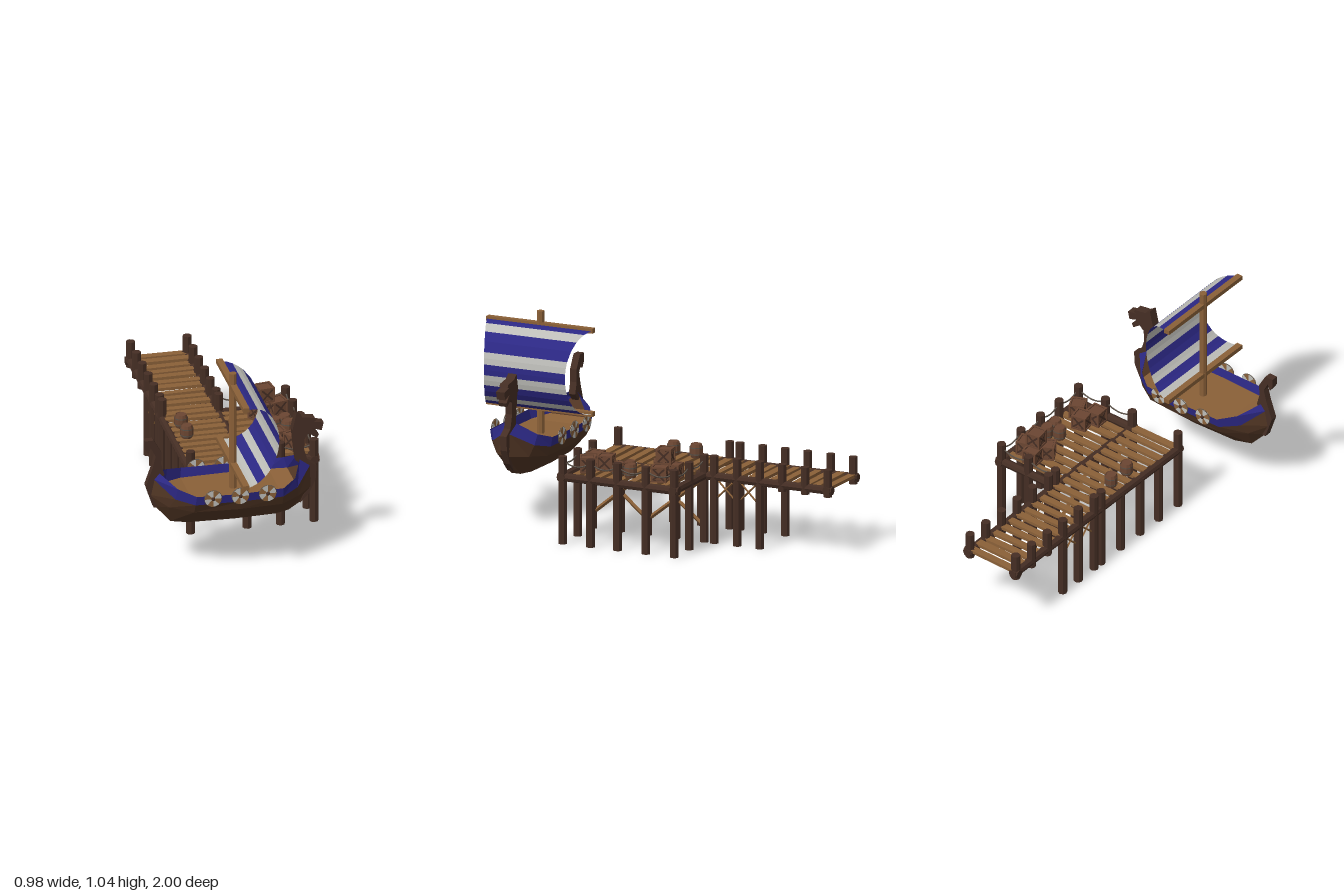
import * as THREE from 'three';

const mat = (color) => new THREE.MeshStandardMaterial({ color, flatShading: true, side: THREE.DoubleSide });
const DARK = mat(0x452e24), HULL = mat(0x4f3423), PLANK = mat(0x8a6038), CRATE = mat(0x6b4632),
  BLUE = mat(0x2c2884), WHITE = mat(0xbdbdb8), ROPE = mat(0x5a5148);
const V = (x, y, z) => new THREE.Vector3(x, y, z);

let seed = 7;
const jitter = (a) => { seed = (seed * 16807) % 2147483647; return (seed / 2147483647 - 0.5) * 2 * a; };

function add(parent, name, geo, material, x = 0, y = 0, z = 0) {
  const m = new THREE.Mesh(geo, material);
  m.name = name;
  m.position.set(x, y, z);
  parent.add(m);
  return m;
}
// round bar between two points
function bar(parent, name, a, b, r, material, sides = 8) {
  const m = add(parent, name, new THREE.CylinderGeometry(r, r, a.distanceTo(b), sides), material);
  m.position.copy(a).lerp(b, 0.5);
  m.quaternion.setFromUnitVectors(V(0, 1, 0), b.clone().sub(a).normalize());
  return m;
}
// faceted surface through rows of points
function sheet(rows) {
  const p = [];
  for (let i = 0; i < rows.length - 1; i++) for (let j = 0; j < rows[i].length - 1; j++) {
    const [a, b, c, d] = [rows[i][j], rows[i + 1][j], rows[i + 1][j + 1], rows[i][j + 1]];
    for (const v of [a, b, c, a, c, d]) p.push(v.x, v.y, v.z);
  }
  const g = new THREE.BufferGeometry();
  g.setAttribute('position', new THREE.Float32BufferAttribute(p, 3));
  g.computeVertexNormals();
  return g;
}
function slab(points, depth) {
  const g = new THREE.ExtrudeGeometry(new THREE.Shape(points.map((p) => new THREE.Vector2(...p))), { depth, bevelEnabled: false });
  return g.translate(0, 0, -depth / 2);
}

function buildShip() {
  const ship = new THREE.Group();
  ship.name = 'ship';
  // stations from stern to bow: keel, chine, strake, sheer as [x, y, halfWidth]
  const stations = [
    [[-0.44, 0.35, 0.006], [-0.475, 0.42, 0.008], [-0.45, 0.505, 0.014], [-0.42, 0.535, 0.018]],
    [[-0.365, 0.267, 0.02], [-0.385, 0.37, 0.075], [-0.36, 0.425, 0.105], [-0.35, 0.487, 0.12]],
    [[-0.28, 0.265, 0.05], [-0.27, 0.36, 0.14], [-0.27, 0.41, 0.165], [-0.265, 0.46, 0.175]],
    [[-0.04, 0.265, 0.06], [-0.04, 0.36, 0.155], [-0.04, 0.41, 0.172], [-0.04, 0.455, 0.18]],
    [[0.17, 0.265, 0.05], [0.18, 0.36, 0.145], [0.18, 0.41, 0.165], [0.18, 0.46, 0.173]],
    [[0.24, 0.267, 0.025], [0.275, 0.37, 0.09], [0.265, 0.43, 0.115], [0.25, 0.485, 0.125]],
    [[0.31, 0.30, 0.006], [0.365, 0.38, 0.008], [0.35, 0.495, 0.018], [0.295, 0.54, 0.03]],
  ];
  const row = (s, k, side) => V(s[k][0], s[k][1], side * s[k][2]);
  for (const side of [1, -1]) {
    add(ship, 'hullSide', sheet(stations.map((s) => [0, 1, 2].map((k) => row(s, k, side)))), HULL);
    add(ship, 'gunwale', sheet(stations.map((s) => [2, 3].map((k) => row(s, k, side)))), BLUE);
  }
  add(ship, 'keelBottom', sheet(stations.map((s) => [row(s, 0, -1), row(s, 0, 1)])), HULL);
  const floor = stations.map((s) => [row(s, 2, -1), row(s, 2, 1)]);
  add(ship, 'deck', sheet(floor.slice(1, 6)), PLANK);
  add(ship, 'sternDeck', sheet(floor.slice(0, 2)), HULL);
  add(ship, 'bowDeck', sheet(floor.slice(5)), HULL);
  // curled stern and carved prow
  add(ship, 'sternPost', slab([[-0.43, 0.35], [-0.45, 0.35], [-0.49, 0.47], [-0.455, 0.57], [-0.44, 0.63], [-0.465, 0.68],
    [-0.477, 0.645], [-0.495, 0.675], [-0.495, 0.72], [-0.45, 0.72], [-0.41, 0.65], [-0.412, 0.585], [-0.395, 0.525], [-0.44, 0.48]], 0.036), DARK);
  add(ship, 'prow', slab([[0.30, 0.295], [0.345, 0.34], [0.38, 0.415], [0.385, 0.49], [0.34, 0.52], [0.32, 0.59], [0.325, 0.655],
    [0.29, 0.74], [0.26, 0.70], [0.27, 0.60], [0.278, 0.53], [0.33, 0.49], [0.355, 0.42]], 0.036), DARK);
  add(ship, 'prowHead', slab([[0.26, 0.70], [0.28, 0.79], [0.31, 0.767], [0.375, 0.757], [0.382, 0.742], [0.365, 0.738], [0.42, 0.727],
    [0.41, 0.685], [0.36, 0.702], [0.395, 0.665], [0.385, 0.645], [0.345, 0.675], [0.325, 0.655]], 0.046), DARK);
  // mast, yards and striped sail
  bar(ship, 'mast', V(-0.04, 0.41, 0), V(-0.04, 1.04, 0), 0.019, PLANK);
  for (const y of [0.97, 0.54]) add(ship, 'yard', new THREE.BoxGeometry(0.032, 0.024, 0.59), PLANK, -0.04, y, 0);
  const bands = [0.97, 0.96, 0.93, 0.84, 0.78, 0.725, 0.67, 0.605, 0.575, 0.55, 0.54];
  const sailRow = (t) => {
    const s = Math.sin(t), w = 0.293 - 0.068 * s;
    return [-1, -0.33, 0.33, 1].map((k) => V(-0.03 + 0.175 * s, 0.755 + 0.215 * Math.cos(t), k * w));
  };
  const angle = (y) => Math.acos(THREE.MathUtils.clamp((y - 0.755) / 0.215, -1, 1));
  for (let i = 0; i < bands.length - 1; i++) {
    const a = angle(bands[i]), b = angle(bands[i + 1]);
    add(ship, 'sailStripe', sheet([0, 0.5, 1].map((f) => sailRow(a + (b - a) * f))), i % 2 ? WHITE : BLUE);
  }
  // round shields with alternating wedges
  for (const side of [1, -1]) for (const x of [-0.185, -0.045, 0.095]) {
    const shield = new THREE.Group();
    shield.name = 'shield';
    for (let i = 0; i < 8; i++) {
      const w = add(shield, 'shieldWedge', new THREE.CylinderGeometry(0.043, 0.043, 0.008, 3, 1, false, i * Math.PI / 4, Math.PI / 4), i % 2 ? PLANK : WHITE);
      w.rotation.x = Math.PI / 2;
    }
    add(shield, 'shieldRim', new THREE.TorusGeometry(0.043, 0.003, 4, 16), ROPE);
    add(shield, 'shieldBoss', new THREE.SphereGeometry(0.01, 8, 6), DARK, 0, 0, side * 0.004);
    shield.position.set(x, 0.448, side * 0.186);
    ship.add(shield);
  }
  ship.position.z = 0.7;
  return ship;
}

function buildBarrel() {
  const g = new THREE.Group();
  g.name = 'barrel';
  const prof = [[0, 0], [0.027, 0], [0.034, 0.022], [0.034, 0.048], [0.027, 0.07], [0.025, 0.066], [0, 0.066]];
  add(g, 'barrelBody', new THREE.LatheGeometry(prof.map((p) => new THREE.Vector2(...p)), 10), CRATE);
  for (const y of [0.018, 0.052]) add(g, 'hoop', new THREE.CylinderGeometry(0.0345, 0.0345, 0.006, 10, 1, true), ROPE, 0, y, 0);
  return g;
}

function buildCrate(s = 0.078) {
  const g = new THREE.Group(), h = s / 2 - 0.004, t = 0.009;
  g.name = 'crate';
  add(g, 'crateBody', new THREE.BoxGeometry(s * 0.9, s * 0.9, s * 0.9), CRATE);
  for (const a of [-h, h]) for (const b of [-h, h]) {
    add(g, 'crateEdge', new THREE.BoxGeometry(s, t, t), CRATE, 0, a, b);
    add(g, 'crateEdge', new THREE.BoxGeometry(t, s, t), CRATE, a, 0, b);
    add(g, 'crateEdge', new THREE.BoxGeometry(t, t, s), CRATE, a, b, 0);
  }
  // crossed boards on each face
  for (const d of [1, -1]) {
    add(g, 'crateBrace', new THREE.BoxGeometry(s * 1.2, t, s * 0.95), DARK).rotation.z = d * Math.PI / 4;
    add(g, 'crateBrace', new THREE.BoxGeometry(s * 0.95, s * 1.2, t), DARK).rotation.x = d * Math.PI / 4;
  }
  return g;
}

function buildDock() {
  const dock = new THREE.Group();
  dock.name = 'dock';
  const L = -0.17, M = 0.12, N = 0.29, R = 0.462;
  const zs = [0.332, 0.177, 0.027, -0.13, -0.287], walk = [-0.343, -0.47, -0.595, -0.72, -0.847, -0.973];
  const post = (x, z, y0, y1) => bar(dock, 'post', V(x, y0, z), V(x, y1, z), 0.023, DARK);
  zs.forEach((z, i) => {
    const end = i === 0 || i === 4;
    for (const x of [L, M]) post(x, z, 0, end ? 0.45 : 0.35);
    post(R, z, 0, 0.45);
    if (end) post(N, z, 0, 0.45);
  });
  walk.forEach((z, i) => { for (const x of [L, M]) post(x, z, i < 3 ? 0 : 0.31, 0.45); });
  // round beams
  for (const [x, z] of [[L, -1], [M, -1], [R, -0.315]]) bar(dock, 'beam', V(x, 0.343, 0.355), V(x, 0.343, z), 0.022, DARK);
  for (const z of [zs[0], zs[4]]) bar(dock, 'crossBeam', V(0.1, 0.343, z), V(0.487, 0.343, z), 0.022, DARK);
  for (const x of [L, M]) bar(dock, 'beamStub', V(x - 0.026, 0.343, -0.975), V(x + 0.026, 0.343, -0.975), 0.022, DARK);
  // uneven planks
  const plank = (x0, x1, z) => {
    const m = add(dock, 'plank', new THREE.BoxGeometry(x1 - x0 + jitter(0.012), 0.016, 0.036 + jitter(0.005)), PLANK, (x0 + x1) / 2 + jitter(0.005), 0.355 + jitter(0.003), z);
    m.rotation.y = jitter(0.022);
  };
  for (let i = 0; i < 22; i++) {
    const z = 0.325 - i * 0.0617;
    plank(-0.165, 0.112, z);
    if (i > 0 && i < 10) plank(0.128, 0.45, z);
  }
  // crossed braces under the deck
  const cross = (x, z0, z1, y0, y1, r) => {
    bar(dock, 'brace', V(x, y0, z0), V(x, y1, z1), r, PLANK, 4);
    bar(dock, 'brace', V(x, y1, z0), V(x, y0, z1), r, PLANK, 4);
  };
  cross(M, zs[0], zs[2], 0.08, 0.33, 0.011);
  cross(M, zs[2], zs[4], 0.08, 0.33, 0.011);
  for (const x of [L, M]) for (const i of [0, 1]) cross(x, walk[i] - 0.02, walk[i + 1] + 0.02, 0.24, 0.325, 0.005);
  // sagging ropes between the outer posts
  const rope = (a, b) => {
    const mid = a.clone().lerp(b, 0.5).add(V(0, -0.055, 0));
    add(dock, 'rope', new THREE.TubeGeometry(new THREE.QuadraticBezierCurve3(a, mid, b), 8, 0.004, 5), ROPE);
  };
  for (let i = 0; i < 4; i++) rope(V(R, 0.43, zs[i]), V(R, 0.43, zs[i + 1]));
  for (const z of [zs[0], zs[4]]) { rope(V(M, 0.43, z), V(N, 0.43, z)); rope(V(N, 0.43, z), V(R, 0.43, z)); }
  // cargo
  for (const [x, z] of [[-0.11, -0.13], [-0.11, -0.005], [0.335, 0.02], [0.392, -0.01], [0.392, 0.055]]) {
    const b = buildBarrel();
    b.position.set(x, 0.364, z);
    dock.add(b);
  }
  for (const [x, y, z, a] of [[0.32, 0.403, -0.215, 0.1], [0.395, 0.403, -0.175, 0.25], [0.29, 0.403, -0.135, 0.5], [0.33, 0.483, -0.175, 0.15],
    [0.31, 0.403, 0.165, 0.2], [0.275, 0.403, 0.24, 0.05], [0.385, 0.403, 0.23, 0.45]]) {
    const c = buildCrate();
    c.position.set(x, y + 0.02, z);
    c.position.y = y < 0.45 ? 0.404 : 0.5;
    if (y > 0.45) c.position.y = 0.483;
    c.rotation.y = a;
    dock.add(c);
  }
  return dock;
}

export function createModel() {
  const model = new THREE.Group();
  model.name = 'shipAtDock';
  model.add(buildDock(), buildShip());
  return model;
}
